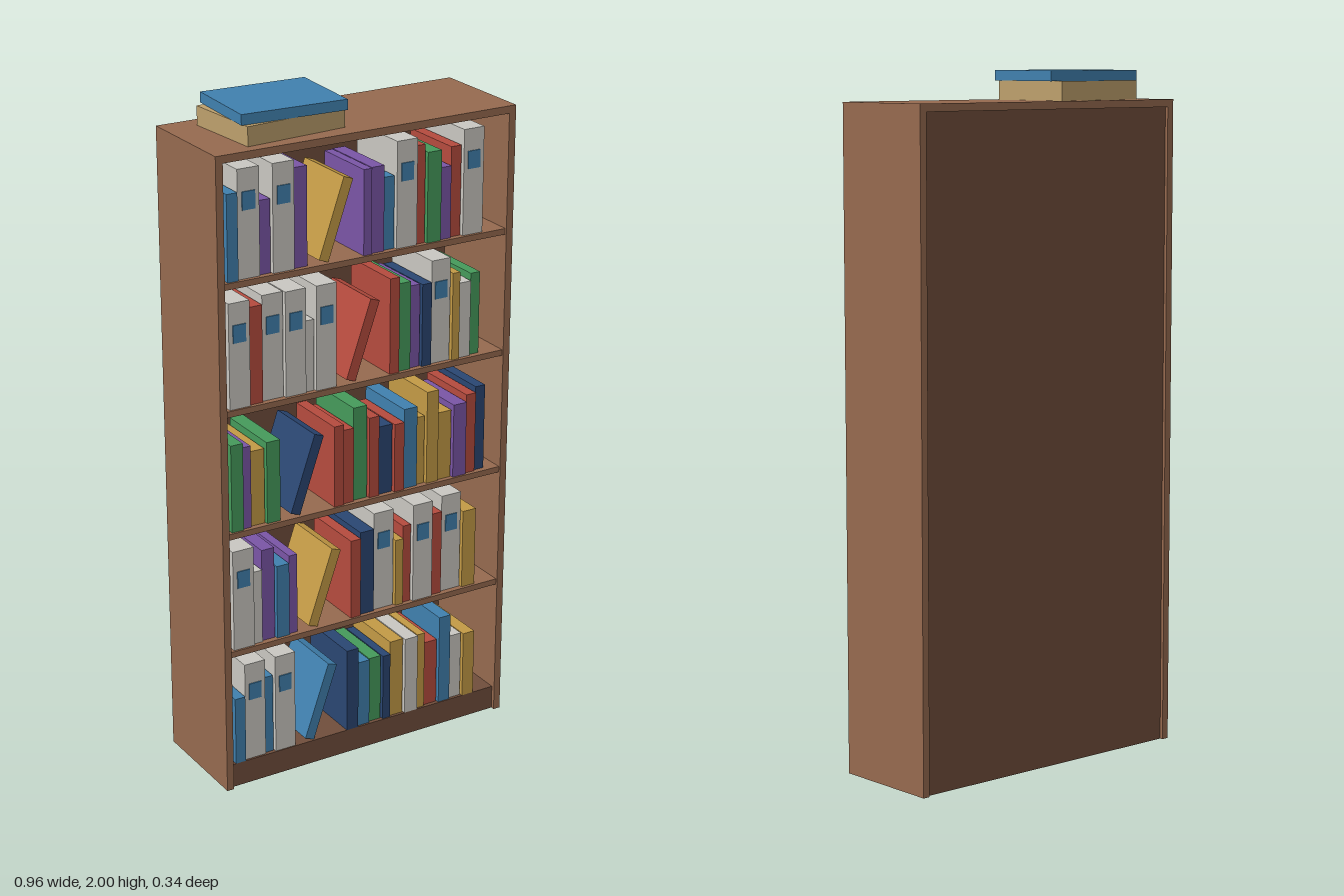
import * as THREE from 'three';

const mat = (name, color) => {
  const m = new THREE.MeshStandardMaterial({ color });
  m.name = name;
  return m;
};
const M = {
  wood: mat('wood', 0x966a4f), dark: mat('darkWood', 0x704e3c), tan: mat('tan', 0xbda06c),
  blue: mat('blue', 0x4080ae), white: mat('paleGrey', 0xc9c7c1), red: mat('red', 0xb54b3e),
  green: mat('green', 0x459a5b), purple: mat('purple', 0x7a55a6), navy: mat('navy', 0x2a4672),
  gold: mat('gold', 0xc39a45),
};

// Book formats: spine widths and heights
const WIDTH = { thin: 0.026, slim: 0.033, plain: 0.04, thick: 0.045, binder: 0.066 };
const HEIGHT = { low: 0.211, short: 0.228, mid: 0.248, tall: 0.264, giant: 0.286 };
const DEPTH = 0.21, GAP = 0.003, START = -0.441;

function box(parent, name, material, w, h, d, x, y, z) {
  const m = new THREE.Mesh(new THREE.BoxGeometry(w, h, d), material);
  m.name = name;
  m.position.set(x, y, z);
  parent.add(m);
  return m;
}

// Shelves from the bottom up: a run of upright books, one leaning book, a second run
const shelves = [
  {
    left: ['slim low blue', 'binder', 'thin mid blue', 'binder'], leftLength: 0.201,
    lean: 'blue', end: 0.385,
    right: ['plain tall navy', 'plain low blue', 'plain low green', 'thin low navy', 'thick mid gold',
      'thick mid white', 'thin mid gold', 'thick low red', 'plain giant blue', 'plain low white', 'plain low gold'],
  }, {
    left: ['binder', 'thin short white', 'plain giant purple', 'plain short blue', 'thin mid purple'], leftLength: 0.214,
    lean: 'gold', end: 0.383,
    right: ['slim mid red', 'thick tall navy', 'binder', 'thin low gold', 'thin mid red', 'binder',
      'slim tall red', 'binder', 'thick mid gold'],
  }, {
    left: ['plain tall green', 'thin mid purple', 'thick short gold', 'thick mid green'], leftLength: 0.158,
    lean: 'navy', end: 0.412,
    right: ['slim mid red', 'slim short red', 'thick giant green', 'slim mid red', 'thick low navy', 'slim low red',
      'thick mid blue', 'thin low gold', 'plain giant gold', 'thick low gold', 'thick short purple',
      'slim mid red', 'slim tall navy'],
  }, {
    left: ['binder', 'plain giant red', 'binder', 'binder', 'thin low white', 'binder'], leftLength: 0.341,
    lean: 'red', end: 0.385,
    right: ['slim giant red', 'plain tall green', 'slim mid purple', 'slim mid navy', 'binder', 'thin tall gold',
      'plain short white', 'slim mid green'],
  }, {
    left: ['slim mid blue', 'binder', 'slim low purple', 'binder', 'plain giant purple'], leftLength: 0.253,
    lean: 'gold', end: 0.383,
    right: ['thin mid purple', 'plain mid purple', 'slim low blue', 'binder', 'thin giant red', 'thick tall green',
      'slim low purple', 'slim tall red', 'binder'],
  },
];

// Packs a run of books between x0 and x1, sharing the width by format
function addRun(parent, run, x0, x1, y) {
  const total = run.reduce((sum, b) => sum + WIDTH[b.split(' ')[0]], 0);
  const share = (x1 - x0 - GAP * (run.length - 1)) / total;
  let x = x0;
  run.forEach((book, i) => {
    const [format, size, colour] = book.split(' ');
    const w = WIDTH[format] * share;
    const z = 0.156 - 0.003 * ((i * 7) % 5);
    if (format === 'binder') {
      box(parent, 'binder', M.white, w, 0.31, DEPTH, x + w / 2, y + 0.155, z - DEPTH / 2);
      box(parent, 'binderLabel', M.blue, 0.04, 0.052, 0.004, x + w / 2, y + 0.22, z + 0.001);
    } else {
      const h = HEIGHT[size];
      box(parent, 'book', M[colour], w, h, DEPTH, x + w / 2, y + h / 2, z - DEPTH / 2);
    }
    x += w + GAP;
  });
}

// A book tilted about its lower right edge
function addLeaningBook(parent, colour, x, y) {
  const pivot = new THREE.Group();
  pivot.name = 'leaningBook';
  pivot.position.set(x, y, 0.045);
  pivot.rotation.z = -0.335;
  box(pivot, 'leaningBookBody', M[colour], 0.031, 0.24, DEPTH, -0.0155, 0.12, 0);
  parent.add(pivot);
}

export function createModel() {
  const model = new THREE.Group();
  model.name = 'bookcase';

  // Carcass
  const W = 0.956, H = 1.915, D = 0.336, T = 0.022;
  const inner = W - 2 * T;
  for (const s of [-1, 1]) box(model, 'sidePanel', M.wood, T, H, D, s * (W - T) / 2, H / 2, 0);
  box(model, 'topPanel', M.wood, inner, T, D, 0, H - T / 2, 0);
  box(model, 'backPanel', M.dark, inner, H - T, 0.012, 0, (H - T) / 2, -0.152);
  box(model, 'plinth', M.dark, inner, 0.056, 0.302, 0, 0.028, 0.005);

  // Shelves and their books
  shelves.forEach(({ left, leftLength, lean, right, end }, i) => {
    const y = 0.074 + 0.37 * i;
    if (i > 0) box(model, 'shelf', M.wood, inner, 0.018, 0.308, 0, y - 0.009, 0.008);
    else box(model, 'bottomShelf', M.dark, inner, 0.018, 0.302, 0, y - 0.009, 0.005);
    const books = new THREE.Group();
    books.name = 'bookRow';
    const leftEnd = START + leftLength;
    addRun(books, left, START, leftEnd, y);
    addLeaningBook(books, lean, leftEnd + 0.065, y);
    addRun(books, right, leftEnd + 0.175, end, y);
    model.add(books);
  });

  // Two large books lying on top
  box(model, 'lowerFlatBook', M.tan, 0.316, 0.055, 0.25, -0.213, H + 0.0275, -0.002).rotation.y = 0.075;
  box(model, 'upperFlatBook', M.blue, 0.319, 0.03, 0.255, -0.204, 1.985, -0.002).rotation.y = -0.055;
  return model;
}
